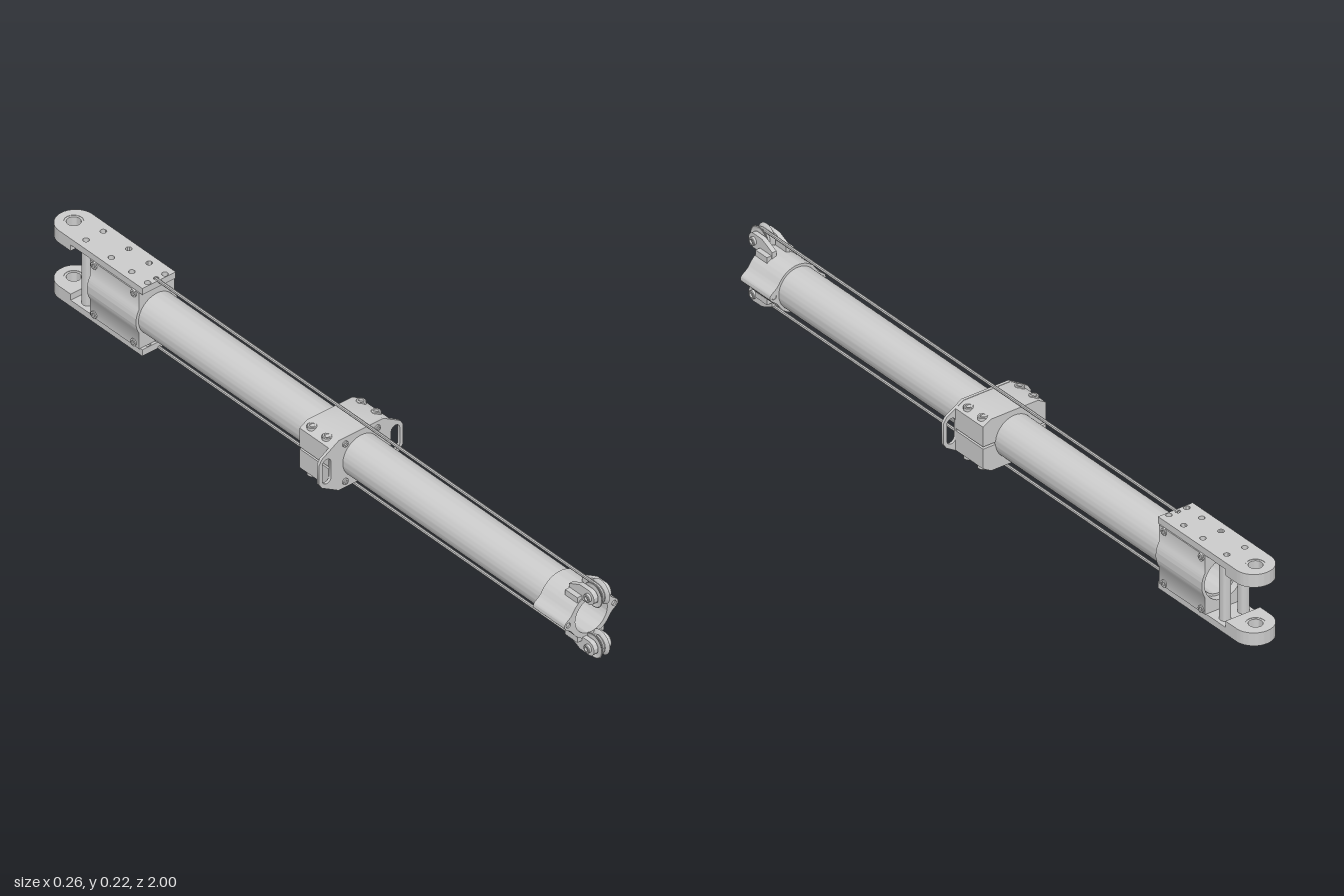
import * as THREE from 'three';
import { toCreasedNormals } from 'three/addons/utils/BufferGeometryUtils.js';

const material = new THREE.MeshStandardMaterial({ color: 0xcccccc });
const CENTRE_Y = 0.1085;
const V = (x, y) => new THREE.Vector2(x, y);

function add(parent, name, geometry, x = 0, y = 0, z = 0) {
  const mesh = new THREE.Mesh(toCreasedNormals(geometry, 0.6), material);
  mesh.name = name;
  mesh.position.set(x, y, z);
  parent.add(mesh);
  return mesh;
}

function circleHole(shape, x, y, r) {
  shape.holes.push(new THREE.Path().absarc(x, y, r, 0, Math.PI * 2, true));
}

const extrude = (shape, depth) =>
  new THREE.ExtrudeGeometry(shape, { depth, bevelEnabled: false, curveSegments: 32 });
// Shape (x, -z) extruded upwards
const extrudeUp = (shape, depth) => extrude(shape, depth).rotateX(-Math.PI / 2);
// Shape (z, y) extruded sideways, centred on x = 0
const extrudeSide = (shape, depth) =>
  extrude(shape, depth).translate(0, 0, -depth / 2).rotateY(-Math.PI / 2);

// Hexagon-socket style bolt head, standing on y = 0
function boltHead(r, h) {
  return new THREE.LatheGeometry([
    V(r, 0), V(r, h * 0.8), V(r * 0.85, h), V(r * 0.55, h), V(r * 0.55, h * 0.3), V(0, h * 0.3),
  ], 16);
}

// Hollow main tube
function addTube(root) {
  const shape = new THREE.Shape().absarc(0, 0, 0.057, 0, Math.PI * 2);
  circleHole(shape, 0, 0, 0.05);
  add(root, 'mainTube', extrude(shape, 1.75), 0, 0, -0.81);
}

// Scalloped collar with an ear on each side
function addFrontCollar(root) {
  const points = [];
  for (let i = 0; i < 96; i++) {
    const a = (i / 96) * Math.PI * 2;
    const side = Math.asin(Math.sin(a)) / 0.24;
    const r = 0.064 + 0.02 * Math.exp(-side * side);
    points.push(V(Math.cos(a) * r, Math.sin(a) * r));
  }
  const shape = new THREE.Shape(points);
  circleHole(shape, 0, 0, 0.05);
  for (const s of [-1, 1]) circleHole(shape, s * 0.071, 0, 0.007);
  add(root, 'frontCollar', extrude(shape, 0.115), 0, 0, 0.83);
  for (const s of [-1, 1])
    add(root, 'collarBolt', new THREE.CylinderGeometry(0.0065, 0.0065, 0.11, 16).rotateX(Math.PI / 2), s * 0.071, 0, 0.886);
}

// Slotted mounting flange with a split clamp behind it
function addClamp(root) {
  const flange = new THREE.Shape();
  const outline = [[0.07, 0.073], [0.122, 0.042], [0.131, 0.028], [0.131, -0.028], [0.122, -0.042], [0.07, -0.073]];
  flange.setFromPoints([
    ...outline.map(([x, y]) => V(x, y)),
    ...outline.map(([x, y]) => V(-x, -y)),
  ]);
  circleHole(flange, 0, 0, 0.057);
  for (const s of [-1, 1]) {
    const slot = new THREE.Path();
    slot.absarc(s * 0.107, 0.022, 0.0135, 0, Math.PI, false);
    slot.absarc(s * 0.107, -0.022, 0.0135, Math.PI, Math.PI * 2, false);
    slot.closePath();
    flange.holes.push(slot);
  }
  add(root, 'flange', extrude(flange, 0.008), 0, 0, 0.092);

  for (const s of [1, -1]) {
    const half = new THREE.Group();
    half.name = s > 0 ? 'upperClamp' : 'lowerClamp';
    half.rotation.z = s > 0 ? 0 : Math.PI;
    root.add(half);
    const gap = 0.003, bore = 0.057, a = Math.asin(gap / bore);
    const shape = new THREE.Shape();
    shape.moveTo(0.094, gap);
    shape.lineTo(0.094, 0.058);
    shape.lineTo(0.07, 0.072);
    shape.lineTo(-0.07, 0.072);
    shape.lineTo(-0.094, 0.058);
    shape.lineTo(-0.094, gap);
    shape.lineTo(-bore * Math.cos(a), gap);
    shape.absarc(0, 0, bore, Math.PI - a, a, true);
    add(half, 'clampBody', extrude(shape, 0.107), 0, 0, -0.015);
    for (const x of [-0.076, 0.076]) {
      for (const z of [0.01, 0.065]) add(half, 'clampBolt', boltHead(0.013, 0.01), x, 0.063, z);
      add(half, 'flangeBolt', boltHead(0.0085, 0.005).rotateX(Math.PI / 2), x * 0.66, 0.055, 0.1);
    }
  }
}

// Pulley, cheeks and cable on one side
function addPulley(side) {
  const y = 0.0745, z = 0.967;
  const wheel = new THREE.LatheGeometry([
    V(0.007, -0.011), V(0.024, -0.009), V(0.032, -0.0125), V(0.034, -0.0115), V(0.0235, -0.003),
    V(0.0235, 0.003), V(0.034, 0.0115), V(0.032, 0.0125), V(0.024, 0.009), V(0.007, 0.011),
  ], 40).rotateZ(Math.PI / 2);
  add(side, 'pulleyWheel', wheel, 0, y, z - 0.001);

  const cheek = new THREE.Shape();
  cheek.moveTo(0.895, 0.055);
  cheek.lineTo(0.945, 0.055);
  cheek.absarc(z, y, 0.02, -Math.PI / 2, Math.PI / 2, false);
  cheek.lineTo(0.935, 0.094);
  cheek.lineTo(0.895, 0.076);
  circleHole(cheek, z, y, 0.006);
  for (const s of [-1, 1]) {
    add(side, 'pulleyCheek', extrudeSide(cheek, 0.013), s * 0.0205, 0, 0);
    add(side, 'axleHead', boltHead(0.011, 0.008).rotateZ(-s * Math.PI / 2), s * 0.027, y, z);
    add(side, 'cheekFoot', new THREE.BoxGeometry(0.016, 0.016, 0.045), s * 0.033, 0.058, 0.92);
  }
  add(side, 'pulleyAxle', new THREE.CylinderGeometry(0.0065, 0.0065, 0.06, 16).rotateZ(Math.PI / 2), 0, y, z);

  // Straight run and half wrap around the wheel
  const points = [new THREE.Vector3(0, 0.0975, -0.655), new THREE.Vector3(0, 0.0975, 0)];
  for (let i = 0; i <= 10; i++) {
    const a = (i / 10) * Math.PI;
    points.push(new THREE.Vector3(0, y + 0.023 * Math.cos(a), z + 0.023 * Math.sin(a)));
  }
  const path = new THREE.CurvePath();
  for (let i = 1; i < points.length; i++) path.add(new THREE.LineCurve3(points[i - 1], points[i]));
  add(side, 'cable', new THREE.TubeGeometry(path, 300, 0.0045, 8));
}

// Lug plate with drilled holes and a thick rounded end
function addLug(side) {
  const w = 0.052, tip = 0.948, thick = 0.0185;
  const tongue = (start) => {
    const s = new THREE.Shape();
    s.moveTo(-w, start);
    s.lineTo(w, start);
    s.absarc(0, tip, w, 0, Math.PI, false);
    return s;
  };
  const plate = tongue(0.642);
  circleHole(plate, 0, 0.955, 0.024);
  for (const x of [-0.027, 0.027])
    for (const z of [0.652, 0.71, 0.785, 0.878]) circleHole(plate, x, z, 0.008);
  circleHole(plate, 0, 0.652, 0.007);
  add(side, 'lugPlate', extrudeUp(plate, thick), 0, 0.081, 0);
  const boss = tongue(0.905);
  circleHole(boss, 0, 0.955, 0.024);
  add(side, 'lugBoss', extrudeUp(boss, 0.018), 0, 0.0635, 0);
  const bush = new THREE.LatheGeometry([
    V(0.024, 0), V(0.024, 0.034), V(0.018, 0.034), V(0.018, 0), V(0.024, 0),
  ], 32);
  add(side, 'lugBushing', bush, 0, 0.0645, -0.955);
  for (const s of [-1, 1])
    for (const z of [-0.67, -0.815])
      add(side, 'sideBolt', boltHead(0.01, 0.004).rotateZ(-s * Math.PI / 2), s * 0.055, 0.072, z);
}

// Rear block with sides bulging around the tube, and two cross posts
function addRearBlock(root) {
  const w = 0.055, h = 0.0815, r = 0.065, a = Math.acos(w / r);
  const shape = new THREE.Shape();
  shape.moveTo(-w, -h);
  shape.lineTo(w, -h);
  shape.absarc(0, 0, r, -a, a, false);
  shape.lineTo(w, h);
  shape.lineTo(-w, h);
  shape.absarc(0, 0, r, Math.PI - a, Math.PI + a, false);
  circleHole(shape, 0, 0, 0.0565);
  add(root, 'rearBlock', extrude(shape, 0.18), 0, 0, -0.83);
  for (const s of [-1, 1])
    add(root, 'crossPost', new THREE.CylinderGeometry(0.0145, 0.0145, 0.164, 24), s * 0.0275, 0, -0.872);
}

export function createModel() {
  const model = new THREE.Group();
  model.name = 'tubeArm';
  const root = new THREE.Group();
  root.name = 'armAssembly';
  root.position.y = CENTRE_Y;
  model.add(root);
  addTube(root);
  addFrontCollar(root);
  addClamp(root);
  addRearBlock(root);
  for (const [name, angle] of [['upperSide', 0], ['lowerSide', Math.PI]]) {
    const side = new THREE.Group();
    side.name = name;
    side.rotation.z = angle;
    root.add(side);
    addPulley(side);
    addLug(side);
  }
  return model;
}
